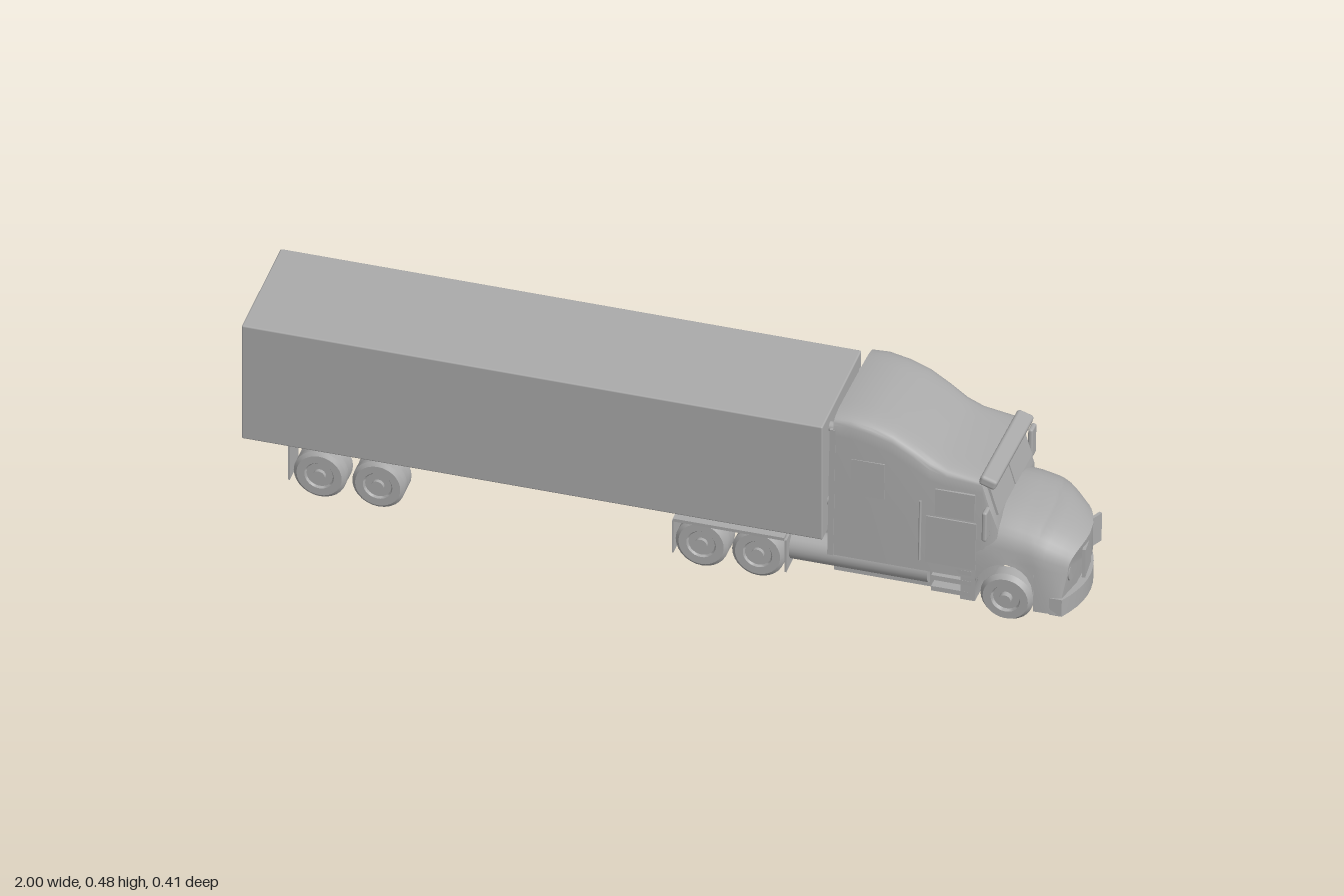
import * as THREE from 'three';
import { mergeVertices, toCreasedNormals } from 'three/addons/utils/BufferGeometryUtils.js';
import { RoundedBoxGeometry } from 'three/addons/geometries/RoundedBoxGeometry.js';

const grey = new THREE.MeshStandardMaterial({ color: 0xaaaaaa });
grey.name = 'plain grey';

function add(parent, name, geo, x = 0, y = 0, z = 0) {
  const m = new THREE.Mesh(geo, grey);
  m.name = name;
  m.position.set(x, y, z);
  parent.add(m);
  return m;
}

// Box given by its minimum and maximum on each axis
function box(parent, name, x0, x1, y0, y1, z0, z1) {
  return add(parent, name, new THREE.BoxGeometry(x1 - x0, y1 - y0, z1 - z0),
    (x0 + x1) / 2, (y0 + y1) / 2, (z0 + z1) / 2);
}

function cylinder(parent, name, r, length, axis, x, y, z) {
  const g = new THREE.CylinderGeometry(r, r, length, 24);
  if (axis === 'x') g.rotateZ(Math.PI / 2);
  if (axis === 'z') g.rotateX(Math.PI / 2);
  return add(parent, name, g, x, y, z);
}

// Body shell lofted along x; station = [x, bottom, shoulder, top, bottom half width, shoulder half width]
function loft(stations, power, warp = (x) => x) {
  const pos = [], idx = [], steps = 9;
  let n = 0;
  for (const [x, yb, ys, yt, wb, wt] of stations) {
    const half = [[wb, yb], [wb + (wt - wb) * 0.35, yb + (ys - yb) * 0.5]];
    for (let i = 0; i < steps; i++) {
      const a = (i / steps) * Math.PI / 2;
      half.push([wt * Math.cos(a) ** power, ys + (yt - ys) * Math.sin(a) ** power]);
    }
    const ring = [...half, [0, yt], ...half.slice().reverse().map(([z, y]) => [-z, y])];
    n = ring.length;
    ring.forEach(([z, y]) => pos.push(warp(x, z), y, z));
  }
  const last = stations.length - 1;
  for (let s = 0; s < last; s++) for (let r = 0; r < n; r++) {
    const a = s * n + r, b = s * n + (r + 1) % n;
    idx.push(a, a + n, b, b, a + n, b + n);
  }
  for (const s of [0, last]) {
    const [x, yb, , yt] = stations[s], c = pos.length / 3;
    pos.push(warp(x, 0), (yb + yt) / 2, 0);
    for (let r = 0; r < n; r++) {
      const a = s * n + r, b = s * n + (r + 1) % n;
      s === 0 ? idx.push(c, a, b) : idx.push(c, b, a);
    }
  }
  const g = new THREE.BufferGeometry();
  g.setAttribute('position', new THREE.Float32BufferAttribute(pos, 3));
  g.setIndex(idx);
  return toCreasedNormals(mergeVertices(g), 0.6);
}

// Tyre with a dished rim and a protruding hub, axis along z
function wheel(parent, name, x, y, z, width, side, r = 0.063) {
  const g = new THREE.Group();
  g.name = name;
  const h = width / 2;
  const profile = [[0, -h * 0.7], [r * 0.5, -h * 0.7], [r * 0.56, -h], [r * 0.86, -h], [r, -h * 0.55],
    [r, h * 0.55], [r * 0.86, h], [r * 0.56, h], [r * 0.5, h * 0.7], [0, h * 0.7]];
  const tyre = new THREE.LatheGeometry(profile.map((p) => new THREE.Vector2(...p)), 28);
  tyre.rotateX(Math.PI / 2);
  add(g, 'tyre', toCreasedNormals(tyre, 0.6));
  cylinder(g, 'hub', r * 0.24, h, 'z', 0, 0, side * h * 0.75);
  g.position.set(x, y, z);
  parent.add(g);
}

// Axle with twin wheels on each side; tilt lifts the +z end
function dualAxle(parent, name, x, y, zc, tilt) {
  const g = new THREE.Group();
  g.name = name;
  for (const s of [1, -1]) for (const d of [0.103, 0.138])
    wheel(g, 'dualWheel', 0, 0, s * d, 0.034, s);
  cylinder(g, 'axle', 0.013, 0.24, 'z', 0, 0, 0);
  g.position.set(x, y, zc);
  g.rotation.x = -tilt;
  parent.add(g);
}

function buildTrailer(root) {
  const t = new THREE.Group();
  t.name = 'trailer';
  root.add(t);
  add(t, 'cargoBox', new RoundedBoxGeometry(1.39, 0.32, 0.315, 2, 0.004), -0.305, 0.305, 0.0125);
  box(t, 'bogieFrame', -0.86, -0.605, 0.1, 0.146, -0.07, 0.095);
  for (const x of [-0.815, -0.675]) dualAxle(t, 'trailerAxle', x, 0.076, 0.0125, 0);
  for (const s of [1, -1])
    box(t, 'mudFlap', -0.889, -0.885, 0.05, 0.146, 0.0125 + s * 0.12 - 0.035, 0.0125 + s * 0.12 + 0.035);
}

function buildChassis(root) {
  const c = new THREE.Group();
  c.name = 'chassis';
  root.add(c);
  for (const s of [1, -1]) {
    const z = 0.0125 + s * 0.05;
    box(c, 'frameRail', 0.04, 0.75, 0.095, 0.135, z - 0.012, z + 0.012);
    for (const x of [0.033, 0.303]) {
      const f = 0.015 + s * 0.125;
      box(c, 'mudFlap', x - 0.002, x + 0.002, 0.04, 0.13, f - 0.035, f + 0.035);
    }
    // Thin fender rail over the drive wheels
    box(c, 'fenderRail', 0.035, 0.3, 0.13, 0.138, 0.0125 + s * 0.155 - 0.01, 0.0125 + s * 0.155 + 0.01);
  }
  box(c, 'couplingPlate', 0.08, 0.27, 0.13, 0.148, -0.06, 0.085);
  for (const x of [0.1, 0.235]) dualAxle(c, 'driveAxle', x, 0.069, 0.0165, 0.035);
  // Steering axle carries a wheel on one side only
  wheel(c, 'frontWheel', 0.83, 0.076, 0.152, 0.054, 1);
  cylinder(c, 'frontAxle', 0.012, 0.25, 'z', 0.83, 0.076, 0.015);
}

function buildCab(root) {
  const c = new THREE.Group();
  c.name = 'cab';
  c.position.z = 0.014;
  c.rotation.x = -0.06;
  root.add(c);

  // Sleeper, roof and windscreen shell
  add(c, 'cabShell', loft([
    [0.41, 0.1, 0.425, 0.475, 0.162, 0.164],
    [0.45, 0.1, 0.425, 0.478, 0.162, 0.164],
    [0.5, 0.1, 0.415, 0.469, 0.162, 0.163],
    [0.55, 0.1, 0.4, 0.452, 0.162, 0.161],
    [0.6, 0.1, 0.37, 0.423, 0.162, 0.159],
    [0.64, 0.1, 0.345, 0.396, 0.162, 0.157],
    [0.68, 0.1, 0.335, 0.379, 0.162, 0.155],
    [0.765, 0.1, 0.33, 0.366, 0.16, 0.152],
    [0.785, 0.1, 0.27, 0.3, 0.16, 0.152],
    [0.802, 0.1, 0.225, 0.25, 0.158, 0.15],
  ], 0.36));

  // Hood and fenders; the bottom edge follows the wheel arch
  const arch = (x) => Math.abs(x - 0.83) < 0.075
    ? 0.078 + Math.sqrt(0.075 ** 2 - (x - 0.83) ** 2) : 0.04;
  const profile = new THREE.SplineCurve([[0.7, 0.262], [0.8, 0.265], [0.86, 0.257], [0.92, 0.24], [0.96, 0.222], [0.992, 0.2]]
    .map((p) => new THREE.Vector2(...p)));
  const topAt = (x) => {
    const pts = profile.getPoints(80);
    return pts.reduce((a, b) => Math.abs(b.x - x) < Math.abs(a.x - x) ? b : a).y;
  };
  const xs = [0.72, 0.7549, 0.7551, 0.762, 0.775, 0.79, 0.81, 0.83, 0.85, 0.87, 0.885, 0.898, 0.9049, 0.9051, 0.93, 0.96, 0.98, 0.992];
  const skew = (x, z) => {
    const t = Math.max(0, (x - 0.8) / 0.19);
    return x - t * t * 2.5 * (z - 0.04) ** 2;
  };
  add(c, 'hood', loft(xs.map((x) => {
    const taper = Math.max(0, (x - 0.9) / 0.092);
    const top = topAt(x);
    return [x, arch(x), Math.max(0.16, top - 0.1) - taper * 0.02, top,
      0.161 - 0.002 * taper, 0.159 - 0.022 * taper * taper];
  }), 0.72, skew));

  // Floor, grille halves, and bumper
  box(c, 'underbody', 0.41, 0.75, 0.042, 0.12, -0.135, 0.135);
  for (const [z, turn] of [[0.05, -0.1], [-0.048, 0.4]])
    add(c, 'grille', new THREE.BoxGeometry(0.008, 0.075, 0.07), skew(0.99, z) - 0.002, 0.143, z).rotation.y = -turn;
  const bumper = new THREE.BoxGeometry(0.03, 0.045, 0.318, 1, 1, 12);
  const p = bumper.attributes.position;
  for (let i = 0; i < p.count; i++) p.setX(i, skew(0.978, p.getZ(i)) + p.getX(i));
  bumper.computeVertexNormals();
  add(c, 'bumper', bumper, 0, 0.06, 0);

  // Split windscreen under a sun visor
  for (const s of [1, -1])
    add(c, 'windscreen', new THREE.BoxGeometry(0.006, 0.085, 0.132), 0.785, 0.308, s * 0.069).rotation.z = 0.31;
  add(c, 'sunVisor', new RoundedBoxGeometry(0.042, 0.026, 0.304, 2, 0.008), 0.777, 0.359, 0).rotation.z = -0.3;

  for (const s of [1, -1]) {
    // Mirror, door, windows and grab rail
    add(c, 'mirror', new RoundedBoxGeometry(0.012, 0.078, 0.034, 2, 0.005), 0.785, 0.272, s * 0.186);
    box(c, 'mirrorArm', 0.775, 0.783, 0.262, 0.27, s * 0.165 - 0.012, s * 0.165 + 0.012);
    box(c, 'sideWindow', 0.655, 0.75, 0.255, 0.325, s * 0.157 - 0.003, s * 0.157 + 0.003);
    box(c, 'door', 0.635, 0.755, 0.125, 0.25, s * 0.161 - 0.002, s * 0.161 + 0.002);
    box(c, 'sleeperWindow', 0.455, 0.535, 0.275, 0.37, s * 0.163 - 0.002, s * 0.163 + 0.002);
    cylinder(c, 'grabRail', 0.003, 0.16, 'y', 0.622, 0.21, s * 0.166);
    box(c, 'rearFairing', 0.402, 0.416, 0.1, 0.44, s * 0.161 - 0.004, s * 0.161 + 0.004);
    // Fuel tank and boarding steps
    cylinder(c, 'fuelTank', 0.036, 0.33, 'x', 0.475, 0.09, s * 0.127);
    for (const y of [0.055, 0.085, 0.112])
      box(c, 'step', 0.65, 0.745, y - 0.006, y + 0.006, s * 0.145 - 0.016, s * 0.145 + 0.016);
    cylinder(c, 'headlight', 0.022, 0.02, 'x', skew(0.98, s * 0.122) - 0.004, 0.135, s * 0.112);
    // Hose coupling behind the cab
    for (const y of [0.22, 0.42]) cylinder(c, 'hoseCoupling', 0.012, 0.025, 'x', 0.4, y, s * 0.12);
  }
}

export function createModel() {
  const root = new THREE.Group();
  root.name = 'semiTruck';
  buildTrailer(root);
  buildChassis(root);
  buildCab(root);
  return root;
}
